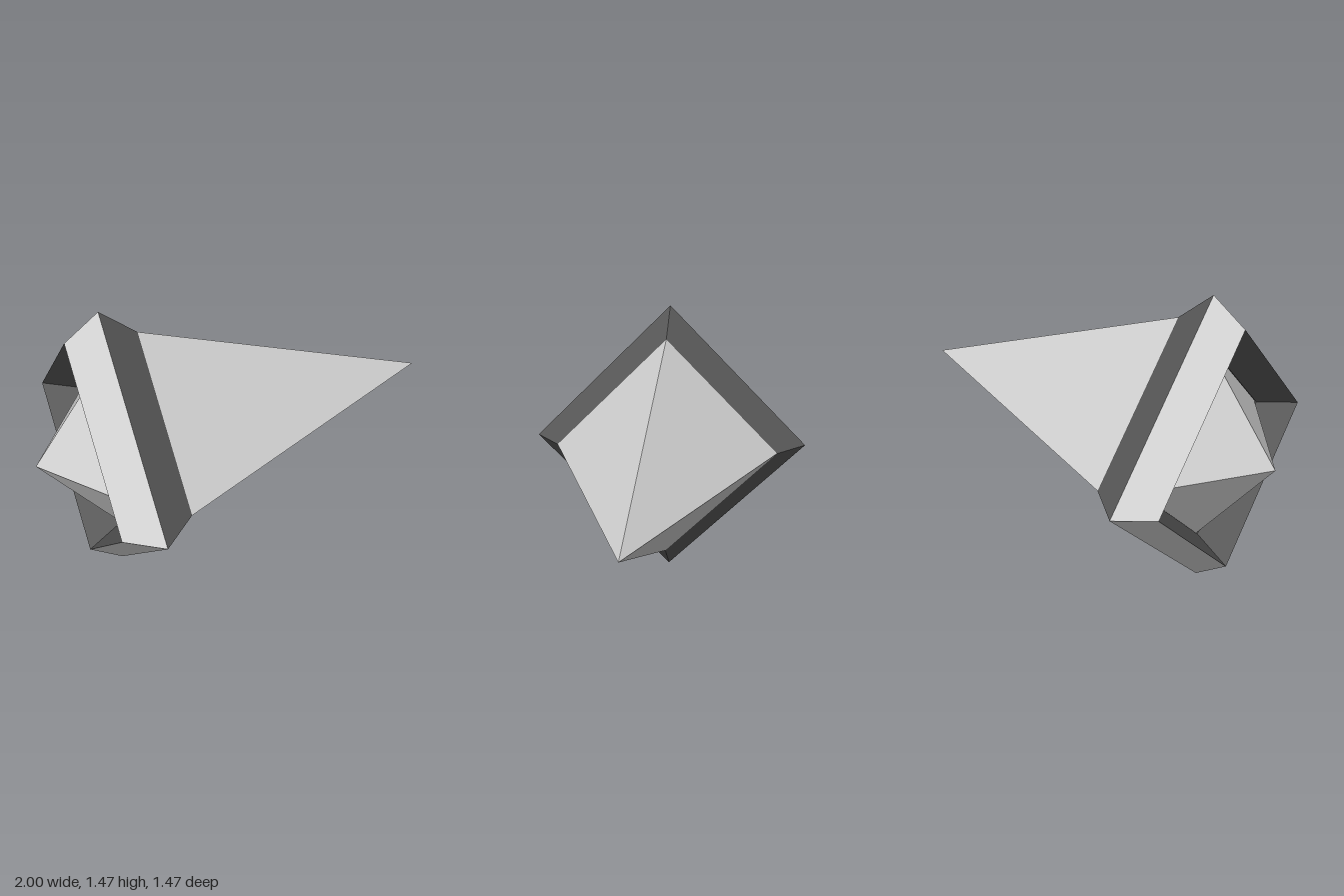
import * as THREE from 'three';

const CENTRE_Y = 0.733;

// Four-sided flat-faced shell around the x axis; profile points are [x, radius]
function fourSided(name, profile, material) {
  const points = profile.map(([x, r]) => new THREE.Vector2(r, x));
  const geometry = new THREE.LatheGeometry(points, 4).toNonIndexed();
  geometry.rotateZ(-Math.PI / 2);
  geometry.computeVertexNormals();
  const mesh = new THREE.Mesh(geometry, material);
  mesh.name = name;
  mesh.position.y = CENTRE_Y;
  return mesh;
}

export function createModel() {
  const lightGrey = new THREE.MeshStandardMaterial({ color: 0xd0d0d0 });
  lightGrey.name = 'lightGrey';
  const darkGrey = new THREE.MeshStandardMaterial({ color: 0x595959 });
  darkGrey.name = 'darkGrey';

  const group = new THREE.Group();
  group.name = 'spikedDart';

  // Long point and short tail as one stretched double pyramid
  group.add(fourSided('body', [[-1, 0], [-0.54, 0.614], [1, 0]], lightGrey));

  // Diamond-section collar: pale sloped rear face, dark front and inner faces
  group.add(fourSided('collarRearFace', [[-0.8, 0.617], [-0.64, 0.733]], lightGrey));
  group.add(fourSided('collarFrontAndInside',
    [[-0.64, 0.733], [-0.46, 0.576], [-0.635, 0.5], [-0.8, 0.617]], darkGrey));

  return group;
}
